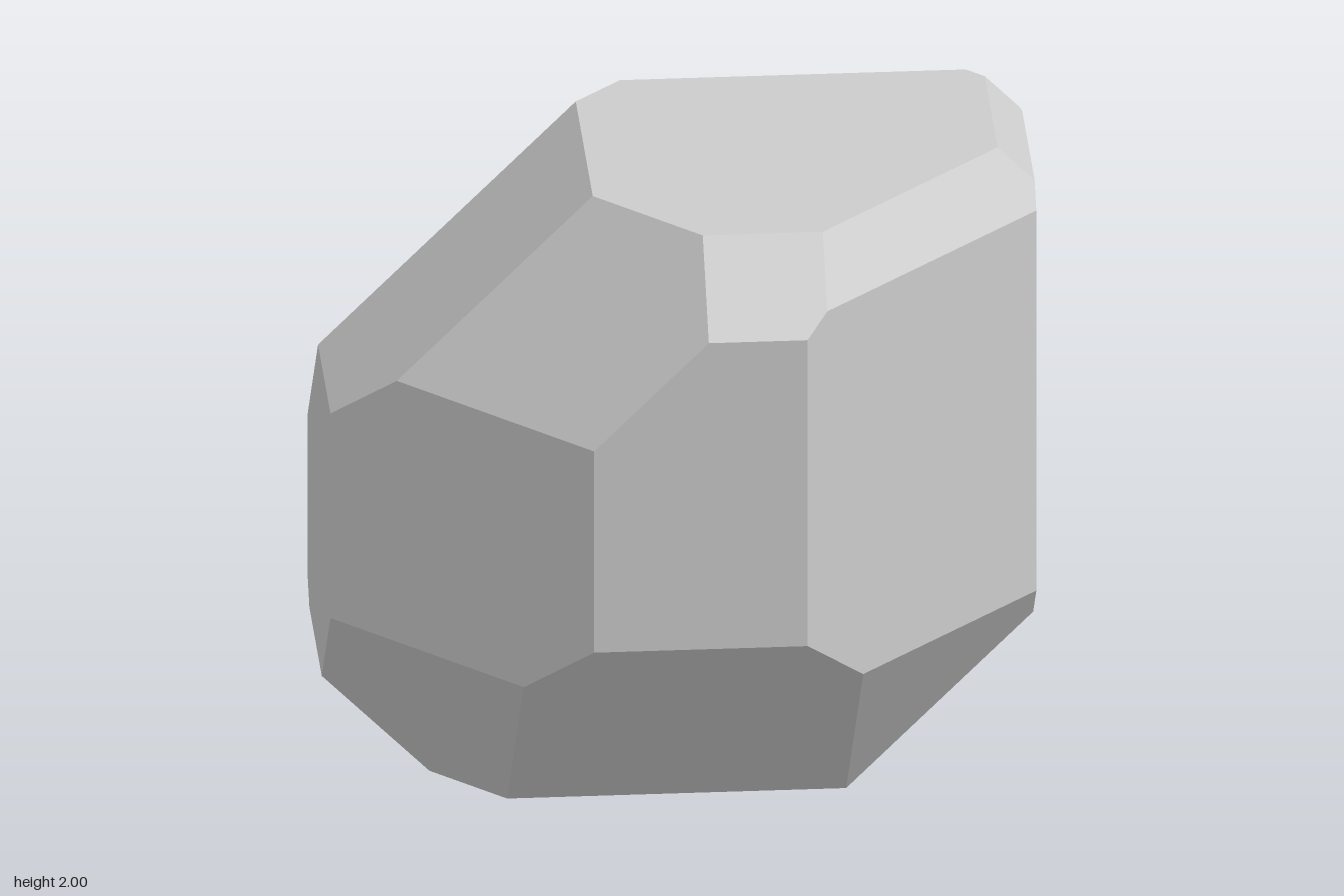
import * as THREE from 'three';

// Cutting planes of the crystal: outward direction (x, y, z) and limit, x*X + y*Y + z*Z <= limit
const CUTS = [
  // cube faces
  [1, 0, 0, 1], [-1, 0, 0, 1], [0, 1, 0, 2], [0, -1, 0, 0], [0, 0, 1, 1], [0, 0, -1, 1],
  // bevels along the upright edges
  [1, 0, 1, 1.30], [-1, 0, 1, 1.305], [1, 0, -1, 1.24], [-1, 0, -1, 1.56],
  // bevels along the top edges
  [1, 1, 0, 2.895], [-1, 1, 0, 2.27], [0, 1, 1, 2.77], [0, 1, -1, 2.30],
  // bevels along the bottom edges
  [1, -1, 0, 0.47], [-1, -1, 0, 0.695], [0, -1, 1, 0.18], [0, -1, -1, 0.595],
  // top corners
  [1, 1, 1, 3.13], [-1, 1, 1, 2.75], [1, 1, -1, 3.145], [-1, 1, -1, 2.435],
  // bottom corners
  [1, -1, 1, 0.65], [-1, -1, 1, 0.67], [1, -1, -1, 0.64], [-1, -1, -1, 1.19],
];

// Keep the part of a polygon that lies inside a plane
function clip(polygon, plane) {
  const kept = [];
  polygon.forEach((a, i) => {
    const b = polygon[(i + 1) % polygon.length];
    const da = plane.distanceToPoint(a);
    const db = plane.distanceToPoint(b);
    if (da <= 0) kept.push(a);
    if ((da < 0 && db > 0) || (da > 0 && db < 0)) kept.push(a.clone().lerp(b, da / (da - db)));
  });
  return kept;
}

// Large square on a plane, counter-clockwise seen from outside
function squareOn(plane) {
  const n = plane.normal;
  const helper = Math.abs(n.y) > 0.9 ? new THREE.Vector3(1, 0, 0) : new THREE.Vector3(0, 1, 0);
  const u = helper.cross(n).normalize();
  const v = n.clone().cross(u);
  const centre = plane.coplanarPoint(new THREE.Vector3());
  return [[-9, -9], [9, -9], [9, 9], [-9, 9]].map(([s, t]) =>
    centre.clone().addScaledVector(u, s).addScaledVector(v, t));
}

// Convex solid bounded by all the planes, one flat facet per plane
function solidFromPlanes(planes) {
  const positions = [];
  const normals = [];
  for (const plane of planes) {
    let facet = squareOn(plane);
    for (const other of planes) if (other !== plane) facet = clip(facet, other);
    for (let i = 1; i + 1 < facet.length; i++) {
      for (const p of [facet[0], facet[i], facet[i + 1]]) {
        positions.push(p.x, p.y, p.z);
        normals.push(...plane.normal.toArray());
      }
    }
  }
  const geometry = new THREE.BufferGeometry();
  geometry.setAttribute('position', new THREE.Float32BufferAttribute(positions, 3));
  geometry.setAttribute('normal', new THREE.Float32BufferAttribute(normals, 3));
  return geometry;
}

export function createModel() {
  const planes = CUTS.map(([x, y, z, limit]) =>
    new THREE.Plane(new THREE.Vector3(x, y, z), -limit).normalize());

  // Faceted stone
  const stone = new THREE.Mesh(
    solidFromPlanes(planes),
    new THREE.MeshStandardMaterial({ color: 0xcccccc, flatShading: true }),
  );
  stone.name = 'facetedStone';

  const model = new THREE.Group();
  model.name = 'stone';
  model.add(stone);
  return model;
}
